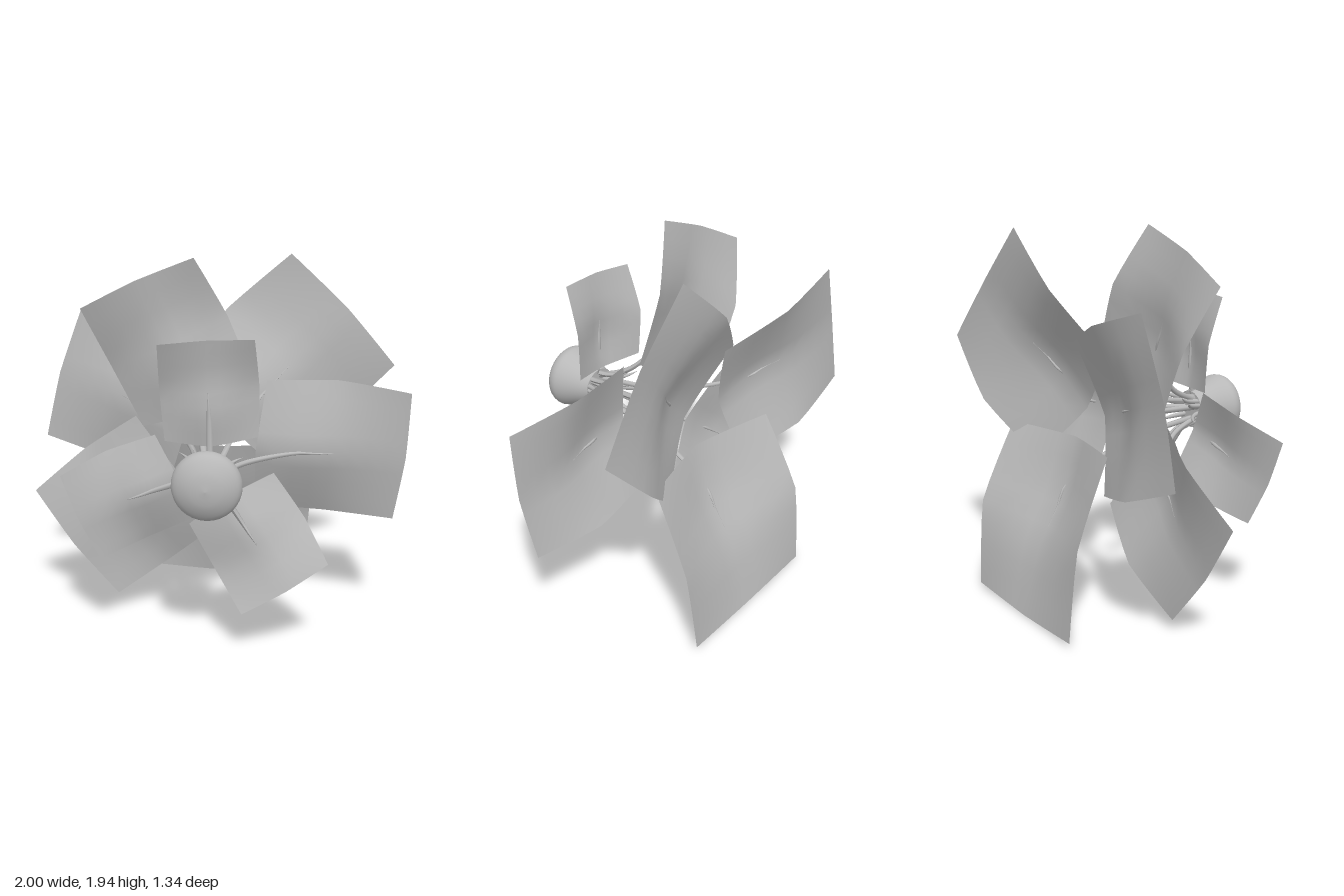
import * as THREE from 'three';

const grey = new THREE.MeshStandardMaterial({ color: 0xb8b8b8, side: THREE.DoubleSide });
grey.name = 'plain grey';
const V = (x, y, z) => new THREE.Vector3(x, y, z);

// Each leaf: two outer corners and the vector running back to its inner edge
const leaves = [
  { name: 'backUpperRight', a: V(0.38, 1.92, -0.47), b: V(0.96, 1.31, -0.53), d: V(-0.61, -0.59, 0.15) },
  { name: 'backLeft', a: V(-1.0, 0.88, -0.49), b: V(-0.78, 1.61, -0.51), d: V(0.72, -0.22, 0.12) },
  { name: 'backBottom', a: V(-0.43, 0.03, -0.67), b: V(0.48, 0.03, -0.67), d: V(0.03, 0.86, 0.24) },
  { name: 'middleRight', a: V(1.0, 1.27, 0), b: V(0.94, 0.58, -0.06), d: V(-0.73, 0.05, -0.03) },
  { name: 'middleUpperLeft', a: V(-0.68, 1.68, 0), b: V(-0.1, 1.94, 0.02), d: V(0.3, -0.63, -0.09) },
  { name: 'middleLowerLeft', a: V(-1.0, 0.65, -0.17), b: V(-0.55, 0.06, -0.155), d: V(0.57, 0.44, 0.02) },
  { name: 'frontTop', a: V(-0.24, 1.57, 0.385), b: V(0.22, 1.6, 0.385), d: V(0.02, -0.49, -0.09) },
  { name: 'frontLeft', a: V(-0.73, 0.91, 0.37), b: V(-0.55, 0.46, 0.32), d: V(0.455, 0.185, -0.13) },
  { name: 'frontBottom', a: V(0.17, 0.235, 0.44), b: V(0.59, 0.51, 0.43), d: V(-0.275, 0.405, -0.18) },
];

// Point on a leaf: s across (-1..1), t along (-1 inner .. 1 outer)
function leafPoint({ a, b, d }, s, t) {
  const across = b.clone().sub(a);
  const normal = across.clone().cross(d).normalize();
  if (normal.z < 0) normal.negate();
  const foldS = Math.abs(s) ** 1.2, foldT = Math.abs(t) ** 1.2;
  const edge = -0.085 * (1 - foldT);
  const middle = 0.02 + 0.1 * THREE.MathUtils.smoothstep(-t, -0.4, 0.5);
  const outward = 0.025 * t * (1 - foldS);
  const sideways = 0.025 * s * (1 - foldT);
  return a.clone().lerp(b, (s + 1) / 2)
    .addScaledVector(d, (1 - t) / 2 - outward)
    .addScaledVector(across, sideways)
    .addScaledVector(normal, (middle + (edge - middle) * foldS) * d.length());
}

function makeLeaf(leaf) {
  const geo = new THREE.PlaneGeometry(2, 2, 8, 8);
  const pos = geo.attributes.position;
  for (let i = 0; i < pos.count; i++) {
    const p = leafPoint(leaf, pos.getX(i), pos.getY(i));
    pos.setXYZ(i, p.x, p.y, p.z);
  }
  geo.computeVertexNormals();
  return geo;
}

// Tube narrowing to a point
function taperedTube(curve, radius) {
  const n = 24, sides = 6;
  const geo = new THREE.TubeGeometry(curve, n, radius, sides, false);
  const pos = geo.attributes.position;
  const p = new THREE.Vector3();
  for (let i = 0; i < pos.count; i++) {
    const u = Math.floor(i / (sides + 1)) / n;
    p.fromBufferAttribute(pos, i).lerp(curve.getPointAt(u), u ** 3);
    pos.setXYZ(i, p.x, p.y, p.z);
  }
  geo.computeVertexNormals();
  return geo;
}

export function createModel() {
  const model = new THREE.Group();
  model.name = 'pottedPlant';
  const add = (name, geo) => {
    const mesh = new THREE.Mesh(geo, grey);
    mesh.name = name;
    model.add(mesh);
    return mesh;
  };

  // Rounded pot, its base facing forward
  const profile = new THREE.SplineCurve([
    [0.1, 0.38], [0.108, 0.41], [0.132, 0.47], [0.16, 0.535], [0.168, 0.575],
    [0.148, 0.615], [0.08, 0.652], [0, 0.665],
  ].map(([r, h]) => new THREE.Vector2(r, h))).getPoints(24);
  profile[profile.length - 1].x = 0;
  const pot = add('pot', new THREE.LatheGeometry(profile, 32));
  const soil = add('soil', new THREE.CircleGeometry(0.102, 24));
  pot.rotation.x = Math.PI / 2;
  pot.position.set(0.01, 0.943, 0);
  soil.position.set(0.01, 0.943, 0.39);

  // Leaves, each on a stem that bends outward and runs along its midline
  for (const leaf of leaves) {
    add(leaf.name + 'Leaf', makeLeaf(leaf));
    const joint = leafPoint(leaf, 0, -0.45);
    const out = V(joint.x, joint.y - 0.943, 0).normalize();
    const start = V(0.01, 0.943, 0.41).addScaledVector(out, 0.05);
    const bend = start.clone().lerp(joint, 0.3);
    bend.z = THREE.MathUtils.lerp(start.z, joint.z, 0.55);
    const path = [start, bend, joint, leafPoint(leaf, 0, -0.2), leafPoint(leaf, 0, 0.06)];
    add(leaf.name + 'Stem', taperedTube(new THREE.CatmullRomCurve3(path), 0.015));
  }

  // Short young shoots around the pot mouth
  for (let i = 0; i < 10; i++) {
    const angle = i * 2.4, reach = 0.12 + 0.015 * (i % 5);
    const dir = V(Math.cos(angle), Math.sin(angle), 0);
    const at = (r, z) => V(0.01, 0.943, z).addScaledVector(dir, r);
    add('shoot' + (i + 1), taperedTube(
      new THREE.QuadraticBezierCurve3(at(0.07, 0.42), at(0.075, 0.3), at(reach, 0.28 - 0.03 * (i % 4))), 0.014));
  }
  return model;
}
